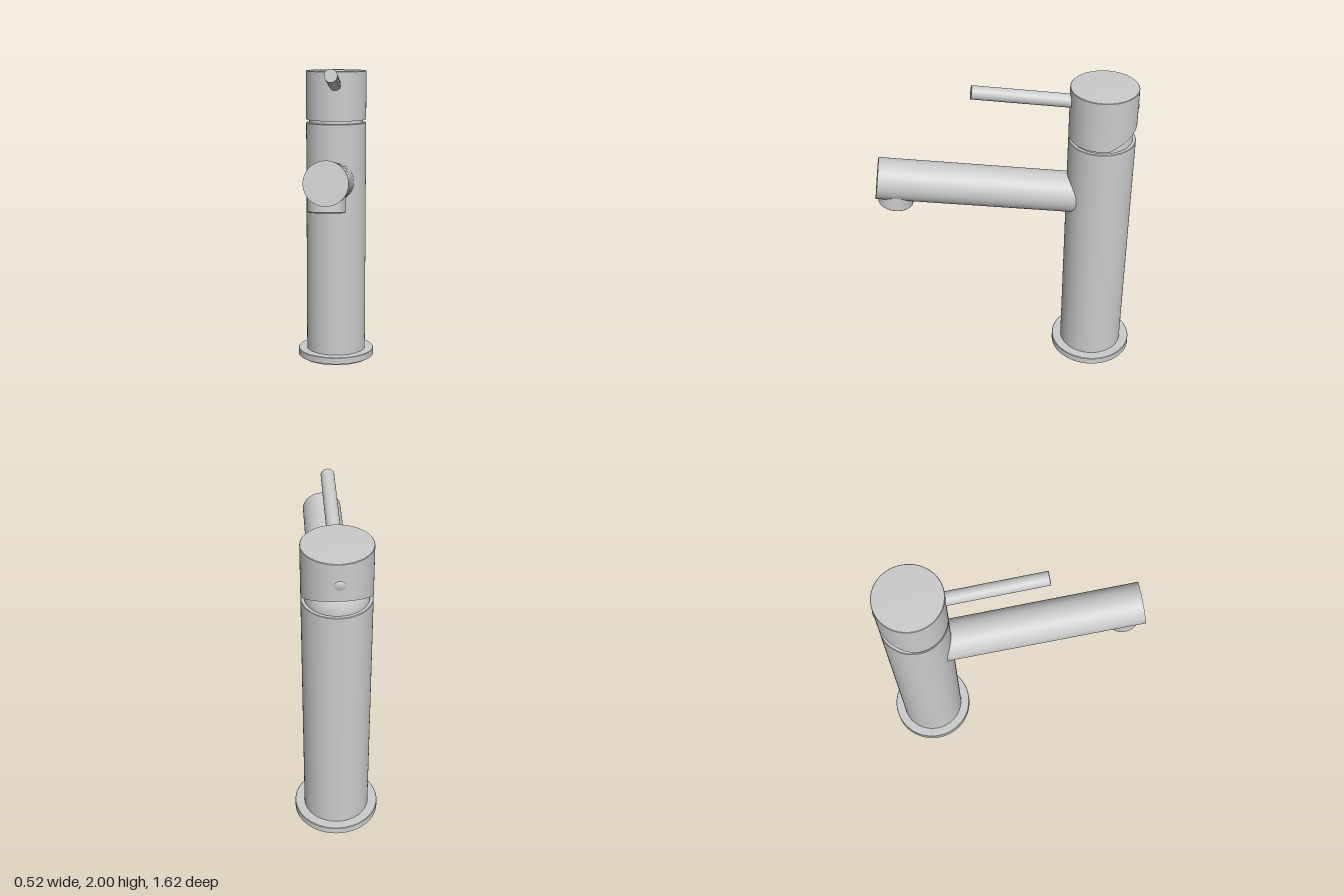
import * as THREE from 'three';
import { toCreasedNormals } from 'three/addons/utils/BufferGeometryUtils.js';

const AXIS_Z = -0.55; // vertical axis of the column
const TILT = -0.141; // upward slope shared by spout and lever
const material = new THREE.MeshStandardMaterial({ color: 0xcccccc });

function add(parent, name, geometry, x = 0, y = 0, z = 0) {
  const mesh = new THREE.Mesh(geometry, material);
  mesh.name = name;
  mesh.position.set(x, y, z);
  parent.add(mesh);
  return mesh;
}

// Turned part: profile of [radius, y], outside running upwards
function turned(profile, shape) {
  const g = new THREE.LatheGeometry(profile.map(([r, y]) => new THREE.Vector2(r, y)), 96);
  if (shape) shape(g.attributes.position);
  return toCreasedNormals(g, 0.6);
}

// Rod along z whose front face is at z = 0
function rod(radius, length) {
  return new THREE.CylinderGeometry(radius, radius, length, 64)
    .rotateX(Math.PI / 2).translate(0, 0, -length / 2);
}

function tiltedGroup(parent, name, y, z) {
  const group = new THREE.Group();
  group.name = name;
  group.position.set(0, y, z);
  group.rotation.x = TILT;
  parent.add(group);
  return group;
}

export function createModel() {
  const model = new THREE.Group();

  // Column, hollow at the foot
  add(model, 'column', turned([
    [0, 0.3], [0.17, 0.3], [0.17, 0.03], [0.2, 0.03],
    [0.2, 1.617], [0.197, 1.62], [0, 1.62],
  ]), 0, 0, AXIS_Z);

  // Base flange with a groove and a sealing ring below
  add(model, 'baseFlange', turned([
    [0.17, 0.06], [0.17, 0.015], [0.195, 0.015], [0.195, 0.03], [0.21, 0.03], [0.21, 0.015],
    [0.258, 0.015], [0.258, 0.057], [0.255, 0.06], [0.17, 0.06],
  ]), 0, 0, AXIS_Z);
  add(model, 'sealingRing', turned([
    [0.212, 0.03], [0.212, 0], [0.232, 0], [0.232, 0.03],
  ]), 0, 0, AXIS_Z);

  // Mounting plate inside the foot, with three openings
  const plate = new THREE.Shape().absarc(0, 0, 0.172, 0, Math.PI * 2);
  for (const [x, y, r] of [[0.08, -0.055, 0.05], [-0.08, -0.055, 0.05], [0, 0.085, 0.045]]) {
    plate.holes.push(new THREE.Path().absarc(x, y, r, 0, Math.PI * 2, true));
  }
  const plateGeometry = new THREE.ExtrudeGeometry(plate, { depth: 0.05, bevelEnabled: false, curveSegments: 32 });
  add(model, 'mountingPlate', toCreasedNormals(plateGeometry.rotateX(-Math.PI / 2), 0.6), 0, 0.06, AXIS_Z);

  // Domed cartridge cover under the cap
  add(model, 'cartridgeDome',
    new THREE.SphereGeometry(0.18, 64, 24, 0, Math.PI * 2, 0, Math.PI / 2), 0, 1.62, AXIS_Z);

  // Hollow cap, its lower edge cut upwards towards the back
  add(model, 'handleCap', turned([
    [0, 1.82], [0.187, 1.82], [0.187, 1.64], [0.2, 1.64],
    [0.2, 1.957], [0.197, 1.96], [0.07, 1.963], [0, 1.965],
  ], (p) => {
    for (let i = 0; i < p.count; i++) {
      if (p.getY(i) < 1.65) p.setY(i, 1.64 + 0.47 * Math.max(0, -p.getZ(i) - 0.01));
    }
  }), 0, 0, AXIS_Z);

  // Lever rod and the domed plug opposite it
  const lever = tiltedGroup(model, 'lever', 1.96, 0.22);
  add(lever, 'leverRod', rod(0.04, 0.65));
  const plug = add(lever, 'capPlug', new THREE.SphereGeometry(0.036, 32, 16), 0, 0, -0.968);
  plug.scale.z = 0.5;

  // Spout
  const spout = tiltedGroup(model, 'spout', 1.4075, 0.7925);
  add(spout, 'spoutTube', rod(0.125, 1.3));

  // Outlet nozzle, open below with a recessed insert
  add(spout, 'outletNozzle', turned([
    [0, -0.135], [0.06, -0.135], [0.065, -0.145], [0.08, -0.145], [0.08, -0.162],
    [0.1, -0.162], [0.105, -0.157], [0.105, -0.03], [0, -0.03],
  ]), 0, 0, -0.124);

  return model;
}
